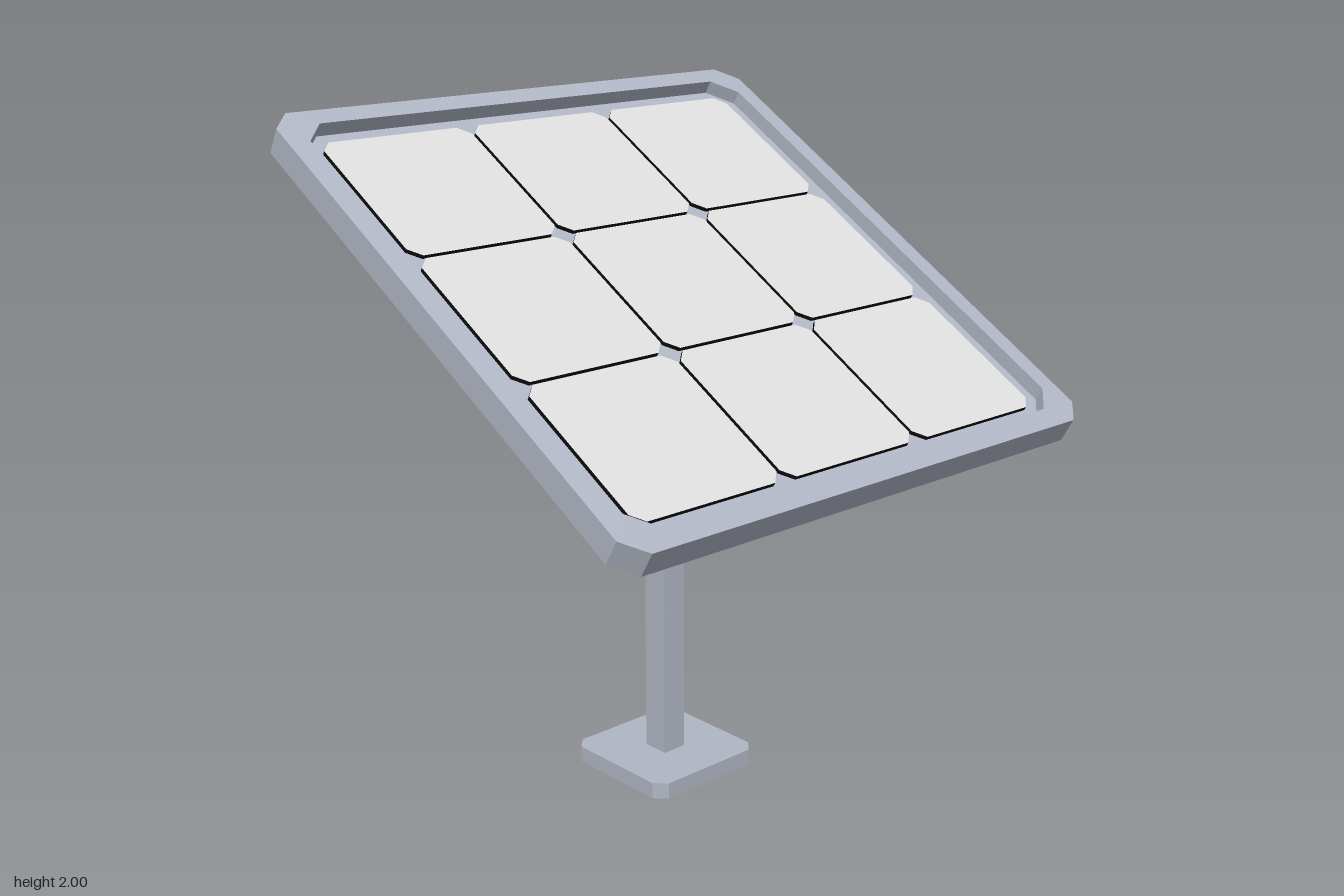
import * as THREE from 'three';

const frameMat = new THREE.MeshStandardMaterial({ color: 0xb0b6c4 });
frameMat.name = 'pale steel';
const cellMat = new THREE.MeshStandardMaterial({ color: 0xdedede });
cellMat.name = 'cell grey';
const edgeMat = new THREE.MeshStandardMaterial({ color: 0x0c0c0c });
edgeMat.name = 'cell edge black';

// Corners of a square with cut corners, counter-clockwise
function cutSquare(h, c) {
  return [[h, -h + c], [h, h - c], [h - c, h], [-h + c, h],
    [-h, h - c], [-h, -h + c], [-h + c, -h], [h - c, -h]];
}

// Flat slab with cut corners, lying on y = 0
function slab(h, c, thickness) {
  const shape = new THREE.Shape(cutSquare(h, c).map(([x, y]) => new THREE.Vector2(x, y)));
  return new THREE.ExtrudeGeometry(shape, { depth: thickness, bevelEnabled: false })
    .rotateX(-Math.PI / 2);
}

// Closed tray made from octagonal rings [half size, corner cut, height]
function tray(rings) {
  const loops = rings.map(([h, c, y]) => cutSquare(h, c).map(([x, z]) => [x, y, -z]));
  const pos = [];
  const n = 8;
  for (let r = 0; r < loops.length - 1; r++) {
    for (let i = 0; i < n; i++) {
      const j = (i + 1) % n;
      const [a, b, c, d] = [loops[r][i], loops[r][j], loops[r + 1][j], loops[r + 1][i]];
      pos.push(...a, ...b, ...c, ...a, ...c, ...d);
    }
  }
  const first = loops[0], last = loops[loops.length - 1];
  for (let i = 1; i < n - 1; i++) {
    pos.push(...first[0], ...first[i + 1], ...first[i]);
    pos.push(...last[0], ...last[i], ...last[i + 1]);
  }
  const geo = new THREE.BufferGeometry();
  geo.setAttribute('position', new THREE.Float32BufferAttribute(pos, 3));
  geo.computeVertexNormals();
  return geo;
}

function add(parent, name, geo, mat, x = 0, y = 0, z = 0) {
  const mesh = new THREE.Mesh(geo, mat);
  mesh.name = name;
  mesh.position.set(x, y, z);
  parent.add(mesh);
  return mesh;
}

export function createModel() {
  const model = new THREE.Group();
  model.name = 'solarPanel';
  const postZ = -0.085;

  // Foot and post
  add(model, 'basePlate', slab(0.2, 0.035, 0.05), frameMat, 0, 0, postZ);
  add(model, 'post', new THREE.BoxGeometry(0.08, 1.4, 0.085), frameMat, 0, 0.75, postZ);

  // Two hinge lugs, outlined in (z, y)
  const outline = [[0.095, 1.38], [0.04, 1.295], [-0.085, 1.275],
    [-0.175, 1.325], [-0.22, 1.44], [-0.165, 1.535]];
  const lugShape = new THREE.Shape(outline.map(([z, y]) => new THREE.Vector2(-z, y)));
  const lugGeo = new THREE.ExtrudeGeometry(lugShape, { depth: 0.05, bevelEnabled: false })
    .translate(0, 0, -0.025).rotateY(Math.PI / 2);
  for (const s of [1, -1]) add(model, s > 0 ? 'leftLug' : 'rightLug', lugGeo, frameMat, s * 0.07);

  // Tilted panel
  const panel = new THREE.Group();
  panel.name = 'panel';
  panel.position.y = 1.527;
  panel.rotation.x = Math.PI / 6;
  model.add(panel);

  add(panel, 'mountPlate', new THREE.BoxGeometry(0.46, 0.035, 0.46), frameMat, 0, -0.0575, 0);
  add(panel, 'frame', tray([
    [0.875, 0.063, -0.04], [0.875, 0.063, 0.04], [0.81, 0.07, 0.044], [0.81, 0.07, 0],
  ]), frameMat);

  // Three by three cells with dark edges
  const cellGeo = slab(0.251, 0.034, 0.012);
  for (let row = -1; row <= 1; row++) {
    for (let col = -1; col <= 1; col++) {
      add(panel, 'cell', cellGeo, [cellMat, edgeMat], col * 0.513, 0, row * 0.513);
    }
  }
  return model;
}
